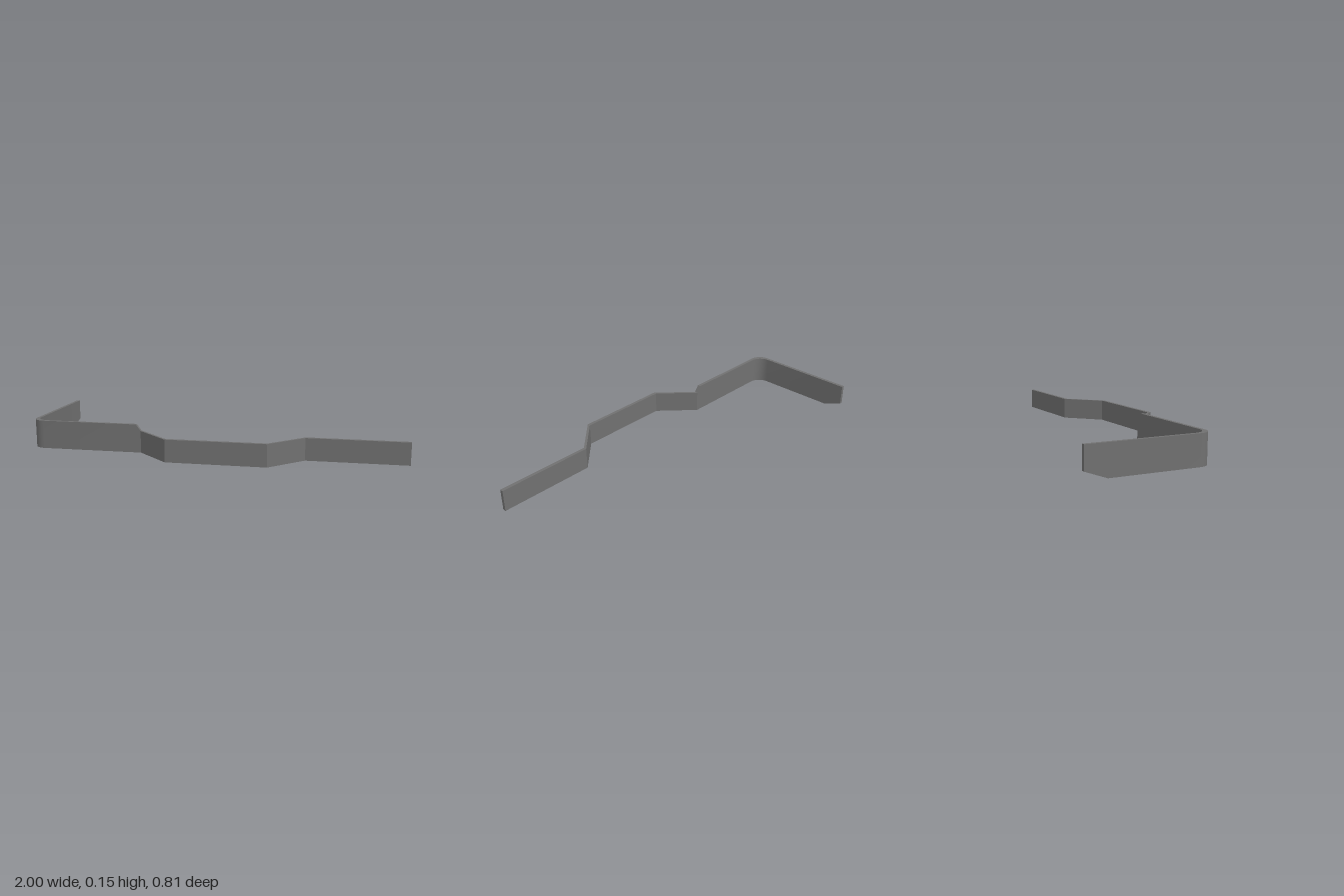
import * as THREE from 'three';
import { toCreasedNormals } from 'three/addons/utils/BufferGeometryUtils.js';

const THICK = 0.018;

// Outer line of the strip, as stations [x, z, bottom, top, inward x, inward z]
function stations() {
  // side arm with a clipped end
  const list = [
    [-1, -0.405, 0.039, 0.151, 1, 0],
    [-1, -0.295, 0, 0.151, 1, 0],
  ];
  // rounded bend, same radius inside and outside
  const r = 0.07, steps = 6;
  for (let i = 0; i <= steps; i++) {
    const a = (i / steps) * Math.PI / 2;
    list.push([-1 + r - r * Math.cos(a), 0.235 - r + r * Math.sin(a), 0, 0.151, 1, -1]);
  }
  // front run: step down, raised middle, straight end
  for (const [x, z, top] of [
    [-0.41, 0.235, 0.151],
    [-0.385, 0.235, 0.117],
    [-0.208, 0.406, 0.117],
    [0.308, 0.406, 0.117],
    [0.48, 0.235, 0.117],
    [1, 0.235, 0.117],
  ]) list.push([x, z, 0, top, 0, -1]);
  return list;
}

// Closed strip through four-cornered cross-sections
function stripGeometry(path) {
  const rings = path.map(([x, z, lo, hi, nx, nz]) => {
    const ix = x + nx * THICK, iz = z + nz * THICK;
    return [[x, lo, z], [x, hi, z], [ix, hi, iz], [ix, lo, iz]];
  });
  const pos = [];
  const quad = (a, b, c, d) => pos.push(...a, ...b, ...c, ...a, ...c, ...d);
  for (let i = 0; i < rings.length - 1; i++) {
    const a = rings[i], b = rings[i + 1];
    for (let k = 0; k < 4; k++) {
      const n = (k + 1) % 4;
      quad(a[k], b[k], b[n], a[n]);
    }
  }
  quad(...rings[0]);
  quad(...rings[rings.length - 1].slice().reverse());
  const geo = new THREE.BufferGeometry();
  geo.setAttribute('position', new THREE.Float32BufferAttribute(pos, 3));
  return toCreasedNormals(geo, 0.3);
}

export function createModel() {
  const group = new THREE.Group();
  group.name = 'bentBracket';
  const strip = new THREE.Mesh(
    stripGeometry(stations()),
    new THREE.MeshStandardMaterial({ color: 0x707070 })
  );
  strip.name = 'bentStrip';
  group.add(strip);
  return group;
}
